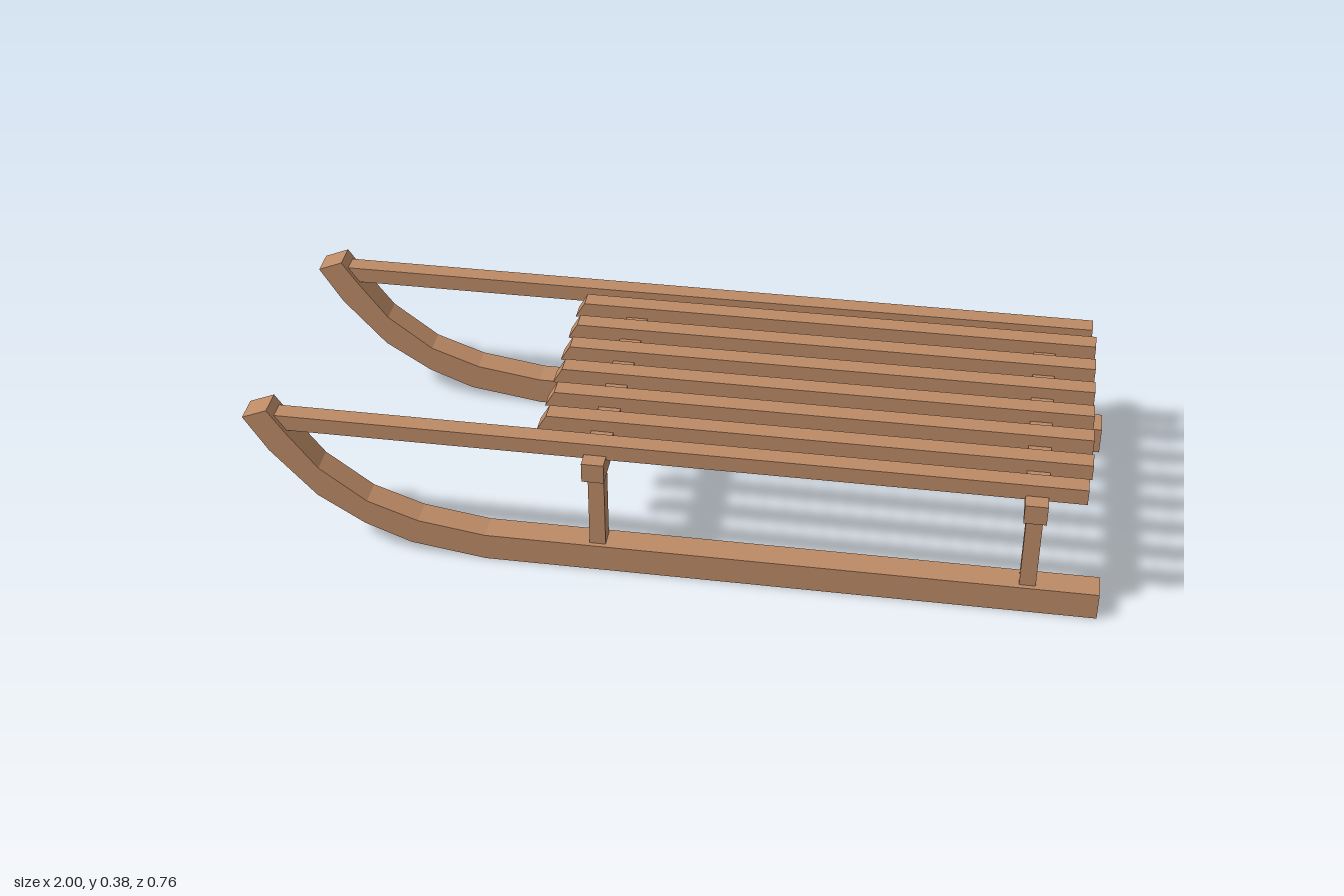
import * as THREE from 'three';

const wood = new THREE.MeshStandardMaterial({ color: 0xbc8a66, flatShading: true });

// Extrudes a side profile (x, y points) to a bar of the given width, centred on z
function bar(name, points, width, z) {
  const shape = new THREE.Shape(points.map(([x, y]) => new THREE.Vector2(x, y)));
  const geometry = new THREE.ExtrudeGeometry(shape, { depth: width, bevelEnabled: false });
  geometry.translate(0, 0, z - width / 2);
  const mesh = new THREE.Mesh(geometry, wood);
  mesh.name = name;
  return mesh;
}

const rect = (x0, x1, y0, y1) => [[x0, y0], [x1, y0], [x1, y1], [x0, y1]];

export function createModel() {
  const sled = new THREE.Group();
  sled.name = 'sled';

  // Runner profile: straight sole with the nose curving up at -x
  const runner = [
    [1, 0], [1, 0.07], [-0.44, 0.07], [-0.6, 0.095], [-0.72, 0.14], [-0.83, 0.225], [-0.9, 0.32],
    [-0.94, 0.38], [-1, 0.355], [-0.945, 0.265], [-0.84, 0.145], [-0.73, 0.073], [-0.62, 0.028], [-0.44, 0],
  ];
  const supports = [-0.17, 0.835];

  for (const side of [1, -1]) {
    const z = side * 0.32;
    const label = side > 0 ? 'left' : 'right';
    sled.add(bar(label + 'Runner', runner, 0.065, z));
    // Long rail joining the nose to the seat
    sled.add(bar(label + 'Rail', rect(-0.93, 0.947, 0.32, 0.36), 0.043, z));
    // Posts standing on the runner
    for (const x of supports) {
      sled.add(bar(label + 'Post', rect(x - 0.019, x + 0.019, 0.06, 0.29), 0.043, z));
    }
  }

  // Crossbars under the seat
  for (const x of supports) {
    sled.add(bar('crossbar', rect(x - 0.026, x + 0.026, 0.28, 0.33), 0.756, 0));
  }

  // Seat slats with a sloping front end
  const slat = [[-0.325, 0.32], [0.956, 0.32], [0.956, 0.36], [-0.302, 0.36]];
  for (let i = 0; i < 6; i++) {
    sled.add(bar('seatSlat', slat, 0.044, 0.227 - i * 0.0952));
  }
  return sled;
}
